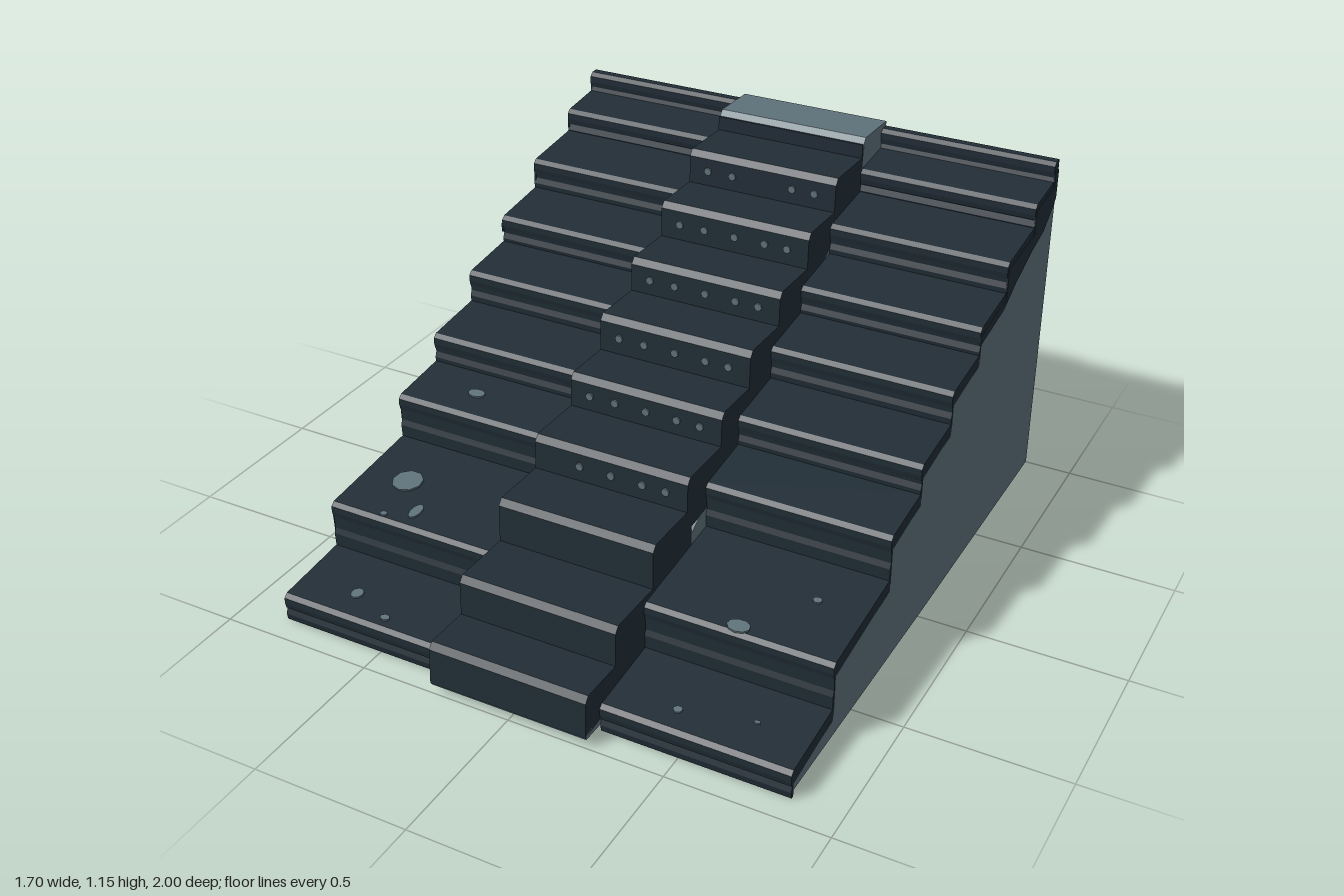
import * as THREE from 'three';

export function createModel() {
  const model = new THREE.Group();
  model.name = 'steppedStand';
  const dark = new THREE.MeshStandardMaterial({ color: 0x212d36 });
  dark.name = 'dark slate';
  const grey = new THREE.MeshStandardMaterial({ color: 0x5e727a });
  grey.name = 'grey stone';

  // Extrudes a [z, y] outline between two x positions
  function prism(name, pts, x0, x1, material) {
    const shape = new THREE.Shape(pts.map(([z, y]) => new THREE.Vector2(z, y)));
    const geo = new THREE.ExtrudeGeometry(shape, { depth: x1 - x0, bevelEnabled: false });
    geo.rotateY(-Math.PI / 2);
    geo.translate(x1, 0, 0);
    const mesh = new THREE.Mesh(geo, material);
    mesh.name = name;
    model.add(mesh);
    return mesh;
  }

  const X0 = -0.262, X1 = 0.255, OUT = 0.845;

  // Central stair: front edge and height of every step
  const stepZ = [1, 0.83, 0.61, 0.4, 0.185, 0, -0.2, -0.4, -0.595, -0.81, -1];
  const stepY = [0.172, 0.297, 0.435, 0.542, 0.648, 0.765, 0.872, 0.985, 1.092, 1.15];
  for (let i = 0; i < 10; i++) {
    const f = stepZ[i], t = stepY[i];
    const b = i === 9 ? -1 : stepZ[i + 1] - 0.03;
    const low = i ? stepY[i - 1] - 0.07 : 0.036;
    const top = i === 9 ? t - 0.008 : t;
    prism('centreStep', [[f, low], [f - 0.006, top - 0.02], [f - 0.022, top], [b, top - 0.004], [b, low + 0.02]],
      X0, X1, i === 9 ? grey : dark);
  }
  // Top landing: dark riser and pale cap
  prism('landingRiser', [[-0.805, 1.08], [-0.805, 1.135], [-0.812, 1.135], [-0.812, 1.08]], X0, X1, dark);
  prism('landingCap', [[-0.812, 1.13], [-0.83, 1.152], [-1, 1.148], [-1, 1.13]], X0, X1, grey);
  prism('centreCore', [[0.995, 0.028], [0.995, 0.04], [0.8, 0.1], [-0.8, 1.0], [-1, 1.1], [-1, 0.004], [0, 0.006]],
    X0, X1, grey);

  // Side tiers: front edge, height at the lip, height at the back
  const tiers = [
    [0.92, 0.095, 0.118], [0.66, 0.275, 0.312], [0.28, 0.462, 0.485], [0.07, 0.582, 0.605],
    [-0.15, 0.712, 0.735], [-0.36, 0.825, 0.85], [-0.57, 0.95, 0.975], [-0.8, 1.05, 1.068],
    [-0.96, 1.132, 1.132],
  ];
  const backOf = (i) => (i < 8 ? tiers[i + 1][0] : -1);
  const LIP = 0.045;

  for (const [x0, x1] of [[-OUT, X0], [X1, OUT]]) {
    const outline = [[-1, 0.004], [0, 0.006], [0.91, 0.022]];
    tiers.forEach(([f, y, yb], i) => {
      const b = backOf(i);
      const prev = i ? tiers[i - 1][2] : 0.022;
      outline.push([f - 0.012, y - LIP], [b - 0.012, yb - LIP]);
      // Tread with a soft nose
      prism('tierTread', [[f - 0.004, y - LIP - 0.005], [f, y - 0.032], [f, y - 0.012], [f - 0.014, y],
        [b - 0.012, yb], [b - 0.012, yb - LIP + 0.005]].map(([z, h]) => [Math.max(z, -1), h]), x0, x1, dark);
      // Riser below the nose, with a folded ridge half way up
      const mid = (prev + y - LIP) / 2;
      prism('tierRiser', [[f - 0.006, prev - 0.02], [f - 0.002, mid - 0.012], [f - 0.009, mid + 0.006],
        [f - 0.005, y - LIP + 0.01], [f - 0.016, y - LIP + 0.01], [f - 0.016, prev - 0.02]], x0, x1, dark);
    });
    outline.pop();
    outline.push([-1, 1.08]);
    prism('tierBody', outline, x0 + 0.001, x1 - 0.001, grey);
  }

  // Dark overhang on the upper outer sides and along the back
  for (const s of [-1, 1]) {
    const x = s * OUT;
    prism('sideOverhang', [[-0.36, 0.77], [-0.56, 0.8], [-0.66, 0.85], [-0.8, 0.9], [-0.9, 0.925], [-0.95, 0.96],
      [-0.998, 1.0], [-0.998, 1.1], [-0.965, 1.1], [-0.965, 1.05], [-0.805, 1.03], [-0.805, 0.95],
      [-0.575, 0.93], [-0.575, 0.83], [-0.36, 0.8]], x - 0.003, x + 0.003, dark);
    const xa = s < 0 ? -OUT : X1, xb = s < 0 ? X0 : OUT;
    prism('backTrim', [[-0.99, 1.04], [-0.99, 1.13], [-1, 1.13], [-1.002, 1.04]], xa, xb, dark);
  }

  // Dark stains hanging down one outer side
  prism('sideStain', [[0.27, 0.44], [0.26, 0.12], [0.2, 0.09], [0.12, 0.16], [0.09, 0.46]],
    -OUT - 0.004, -OUT + 0.002, dark);
  prism('sideStain', [[0.65, 0.25], [0.64, 0.05], [0.56, 0.06], [0.5, 0.14], [0.42, 0.17], [0.4, 0.28]],
    -OUT - 0.007, -OUT + 0.002, dark);

  // Pale studs on the upper risers
  const stud = new THREE.CylinderGeometry(0.013, 0.013, 0.006, 8).rotateX(Math.PI / 2);
  const studX = [-0.195, -0.107, 0, 0.105, 0.183];
  for (let i = 3; i <= 8; i++) {
    studX.forEach((x, k) => {
      if ((i === 3 && k === 0) || (i === 8 && k === 2)) return;
      const mesh = new THREE.Mesh(stud, grey);
      mesh.name = 'riserStud';
      mesh.position.set(x, (stepY[i - 1] + stepY[i]) / 2 - 0.008, stepZ[i] - 0.002);
      model.add(mesh);
    });
  }

  // Worn pale spots on the lower treads: x, z, half width, half depth
  const spots = [
    [-0.62, 0.17, 0.03, 0.02], [-0.69, 0.47, 0.05, 0.05], [-0.58, 0.585, 0.018, 0.034], [-0.665, 0.635, 0.012, 0.01],
    [-0.645, 0.82, 0.02, 0.022], [-0.505, 0.875, 0.016, 0.012], [0.54, 0.63, 0.036, 0.026],
    [0.46, 0.84, 0.014, 0.013], [0.695, 0.44, 0.014, 0.012], [0.68, 0.79, 0.01, 0.006],
  ];
  const disc = new THREE.CylinderGeometry(1, 1, 0.006, 9);
  for (const [x, z, rx, rz] of spots) {
    const i = tiers.findIndex((t, k) => z <= t[0] && z > backOf(k));
    const [f, y, yb] = tiers[i];
    const run = f - backOf(i);
    const mesh = new THREE.Mesh(disc, grey);
    mesh.name = 'wornSpot';
    mesh.scale.set(rx, 1, rz);
    mesh.rotation.x = Math.atan2(yb - y, run);
    mesh.position.set(x, y + (yb - y) * (f - z) / run + 0.001, z);
    model.add(mesh);
  }

  return model;
}
